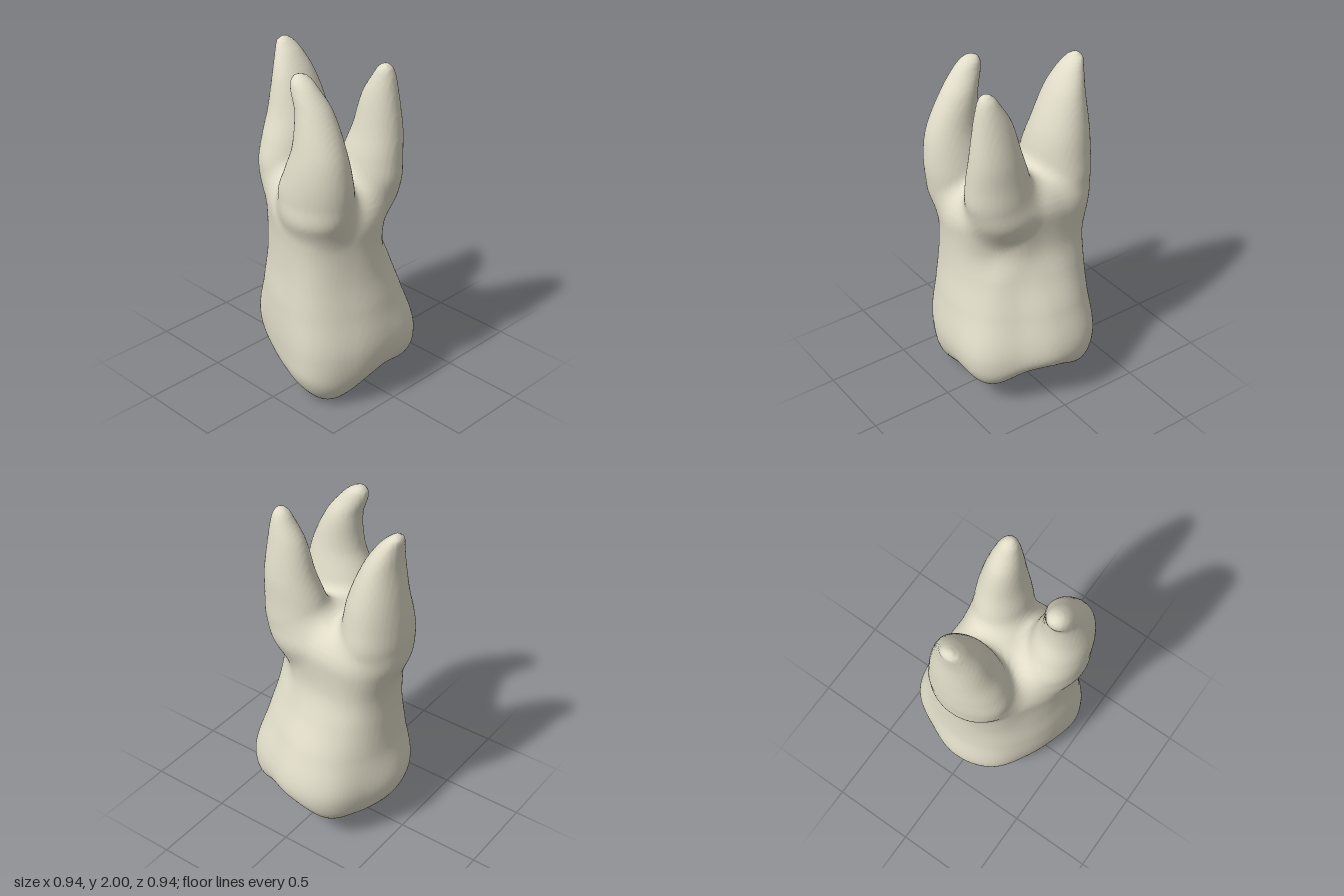
import * as THREE from 'three';

// Crown and neck: height, then outline radius every 30 degrees from +x towards +z
const BODY = [
  [-0.12, .25, .31, .35, .28, .23, .24, .25, .23, .22, .19, .19, .25],
  [0.1, .395, .44, .49, .40, .36, .365, .36, .37, .40, .38, .38, .43],
  [0.34, .467, .49, .517, .435, .415, .452, .457, .445, .487, .464, .435, .487],
  [0.6, .43, .46, .49, .43, .405, .415, .415, .42, .425, .39, .36, .405],
  [0.8, .385, .43, .47, .41, .38, .39, .40, .40, .355, .30, .285, .33],
  [0.97, .365, .42, .465, .405, .37, .39, .40, .39, .305, .25, .25, .275],
  [1.25, .375, .43, .485, .41, .37, .40, .445, .425, .305, .26, .28, .34],
  [1.5, .34, .38, .42, .34, .31, .35, .40, .36, .25, .2, .25, .32],
];

// Roots: height, centre x, centre z, radius x, radius z
const ROOTS = [
  [ // side root, on the model's right
    [0.95, -.2, .02, .04, .05], [1.15, -.26, .015, .18, .22], [1.3, -.28, .015, .187, .25],
    [1.45, -.287, .005, .178, .225], [1.6, -.298, -.01, .154, .187], [1.8, -.328, -.01, .103, .135],
    [1.92, -.367, -.01, .066, .085], [1.98, -.398, -.01, .037, .047], [2.0, -.4, -.01, .01, .01],
  ],
  [ // front root, hooked inwards
    [0.95, .17, .22, .05, .05], [1.15, .16, .28, .2, .175], [1.3, .155, .287, .235, .182],
    [1.45, .187, .302, .203, .162], [1.6, .203, .31, .157, .133], [1.8, .16, .305, .106, .1],
    [1.92, .098, .315, .078, .07], [1.97, .074, .315, .047, .046], [1.99, .07, .315, .01, .01],
  ],
  [ // back root
    [0.95, .13, -.04, .05, .05], [1.15, .155, -.105, .16, .14], [1.3, .18, -.098, .2, .165],
    [1.45, .198, -.107, .185, .149], [1.6, .22, -.122, .153, .126], [1.8, .238, -.122, .11, .092],
    [1.92, .264, -.122, .064, .06], [1.97, .272, -.12, .037, .036], [1.985, .275, -.12, .01, .01],
  ],
];

// Chewing surface bumps: x, z, depth, spread
const CUSPS = [
  [.27, .28, .24, .21], [-.285, .05, .175, .18], [-.24, -.36, .12, .17], [-.35, -.18, .06, .12],
  [.33, -.2, .12, .18], [.36, .05, .05, .13], [0, .36, .09, .2], [-.23, .2, .09, .15],
  [.02, -.02, -.06, .14],
];

// Smooth interpolation between table rows keyed by height
function profile(rows, y) {
  const last = rows.length - 1;
  y = Math.min(Math.max(y, rows[0][0]), rows[last][0]);
  let i = 0;
  while (i < last - 1 && y > rows[i + 1][0]) i++;
  const h = rows[i + 1][0] - rows[i][0], t = (y - rows[i][0]) / h;
  const slope = (j, k) => {
    const a = rows[Math.max(j - 1, 0)], b = rows[Math.min(j + 1, last)];
    return (b[k] - a[k]) / (b[0] - a[0]);
  };
  return rows[0].slice(1).map((_, n) => {
    const k = n + 1, a = rows[i][k], b = rows[i + 1][k];
    const s = t * t * (3 - 2 * t);
    return a + (b - a) * s + h * t * (1 - t) * ((1 - t) * slope(i, k) - t * slope(i + 1, k));
  });
}

// Rounded union and rounded intersection
function blend(a, b, k) {
  const h = Math.max(k - Math.abs(a - b), 0) / k;
  return Math.min(a, b) - h * h * k / 4;
}
const cut = (a, b, k) => -blend(-a, -b, k);

// Periodic smooth lookup of the outline radius
function outline(ring, angle) {
  const n = ring.length, u = ((angle / (2 * Math.PI)) * n + n) % n;
  const i = Math.floor(u), t = u - i;
  const [a, b, c, d] = [-1, 0, 1, 2].map((o) => ring[(i + o + n) % n]);
  return b + 0.5 * t * (c - a + t * (2 * a - 5 * b + 4 * c - d + t * (3 * (b - c) + d - a)));
}

// Signed field for one height: negative inside the tooth
function slice(y) {
  const ring = profile(BODY, y);
  const roots = ROOTS.map((r) => ({ e: profile(r, y), top: r[r.length - 1][0] }));
  return (x, z) => {
    const rho = Math.hypot(x, z);
    let f = rho - outline(ring, Math.atan2(z, x));
    // domed fork between the roots, falling away outwards
    f = cut(f, (y - 1.39 + 1.05 * rho * rho) * 0.85, 0.12);
    if (y < 0.6) {
      let bottom = 0.25;
      for (const [cx, cz, depth, s] of CUSPS) {
        bottom -= depth * Math.exp(-((x - cx) ** 2 + (z - cz) ** 2) / (s * s));
      }
      f = cut(f, (bottom - y) * 0.8, 0.09);
    }
    if (y > 0.9) {
      for (const { e: [cx, cz, rx, rz], top } of roots) {
        let g = (Math.hypot((x - cx) / rx, (z - cz) / rz) - 1) * Math.min(rx, rz);
        g = Math.max(g, y - top, 0.95 - y);
        f = blend(f, g, 0.07);
      }
    }
    return f;
  };
}

// Smooth skin over the field: one vertex per crossed cell, one quad per crossed edge
function skin(min, size, step) {
  const n = size.map((s) => Math.ceil(s / step) + 1);
  const stride = [1, n[0], n[0] * n[1]];
  const field = new Float32Array(n[0] * n[1] * n[2]);
  for (let j = 0; j < n[1]; j++) {
    const f = slice(min[1] + j * step);
    for (let k = 0; k < n[2]; k++) for (let i = 0; i < n[0]; i++) {
      field[i + j * stride[1] + k * stride[2]] = f(min[0] + i * step, min[2] + k * step);
    }
  }
  const corner = (c) => [c & 1, (c >> 1) & 1, c >> 2];
  const cellVertex = new Map(), positions = [], indices = [];
  const eachCell = (fn) => {
    for (let k = 1; k < n[2] - 1; k++) for (let j = 1; j < n[1] - 1; j++) {
      for (let i = 1; i < n[0] - 1; i++) fn([i, j, k], i + j * stride[1] + k * stride[2]);
    }
  };
  eachCell((cell, p) => {
    const sum = [0, 0, 0];
    let hits = 0;
    for (let c = 0; c < 8; c++) for (let a = 0; a < 3; a++) {
      if (c & (1 << a)) continue;
      const o = corner(c), q = p + o[0] + o[1] * stride[1] + o[2] * stride[2];
      const f0 = field[q], f1 = field[q + stride[a]];
      if ((f0 < 0) === (f1 < 0)) continue;
      o[a] += f0 / (f0 - f1);
      o.forEach((v, m) => { sum[m] += v; });
      hits++;
    }
    if (!hits) return;
    cellVertex.set(p, positions.length / 3);
    positions.push(...sum.map((s, m) => min[m] + (cell[m] + s / hits) * step));
  });
  eachCell((cell, p) => {
    for (let a = 0; a < 3; a++) {
      const inside = field[p] < 0;
      if (inside === field[p + stride[a]] < 0) continue;
      const b = stride[(a + 1) % 3], c = stride[(a + 2) % 3];
      const q = [p - b - c, p - c, p, p - b].map((v) => cellVertex.get(v));
      if (!inside) q.reverse();
      indices.push(q[0], q[1], q[2], q[0], q[2], q[3]);
    }
  });
  const geometry = new THREE.BufferGeometry();
  geometry.setAttribute('position', new THREE.Float32BufferAttribute(positions, 3));
  geometry.setIndex(indices);
  geometry.computeVertexNormals();
  return geometry;
}

export function createModel() {
  const group = new THREE.Group();
  group.name = 'molarTooth';
  const tooth = new THREE.Mesh(
    skin([-0.6, -0.12, -0.6], [1.2, 2.24, 1.2], 0.016),
    new THREE.MeshStandardMaterial({ color: 0xe0dcc8 }),
  );
  tooth.name = 'crownAndRoots';
  group.add(tooth);
  return group;
}
